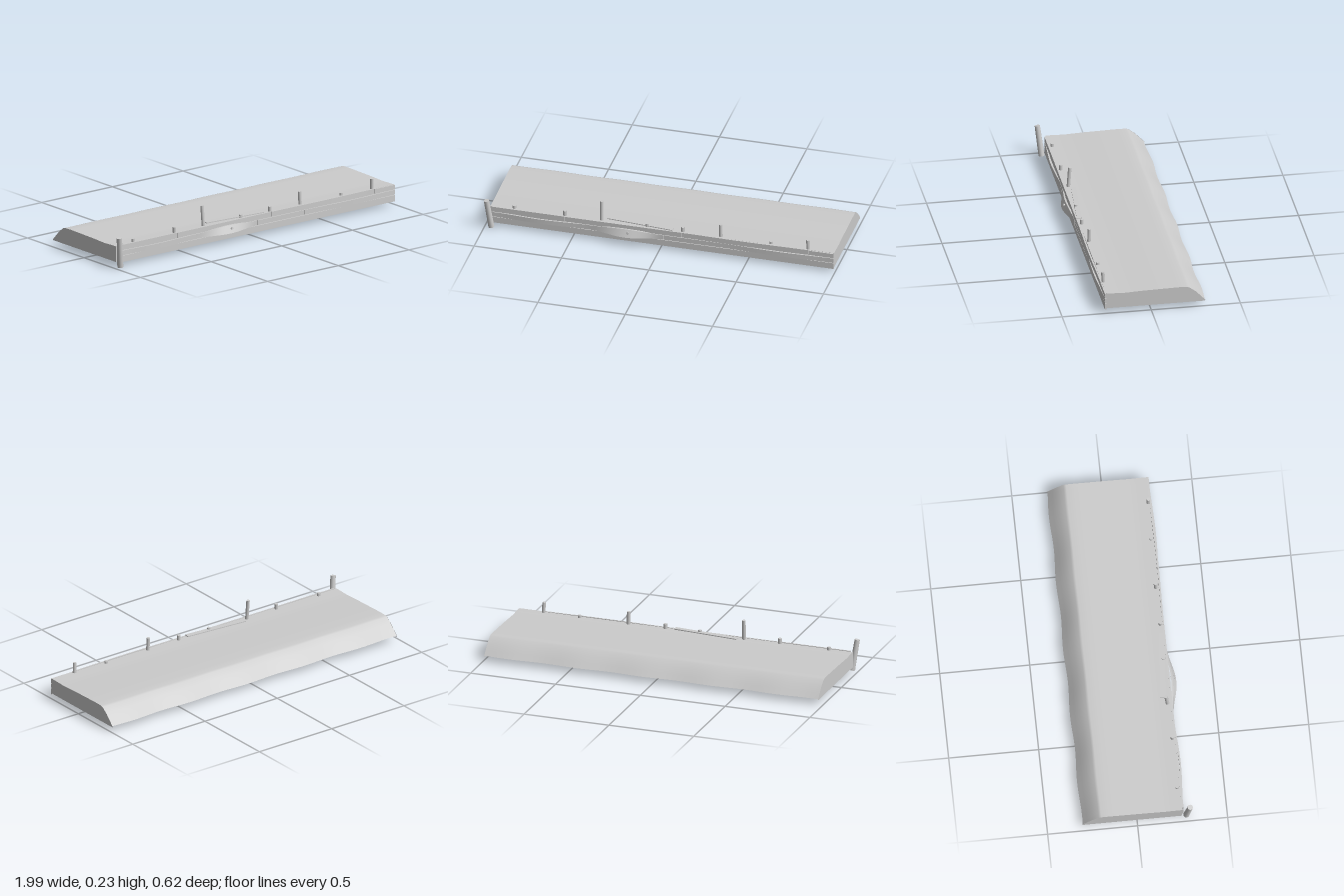
import * as THREE from 'three';

export function createModel() {
  const group = new THREE.Group();
  const grey = new THREE.MeshStandardMaterial({ color: 0xcccccc, side: THREE.DoubleSide });
  grey.name = 'pale grey';
  const X0 = -0.975, X1 = 0.993;

  const add = (name, geometry) => {
    const mesh = new THREE.Mesh(geometry, grey);
    mesh.name = name;
    group.add(mesh);
    return mesh;
  };

  // Ground: a [z, y] profile swept along x, with a wavy rear edge
  const profile = [[0.25, 0.118], [0.2, 0.117], [0.15, 0.115], [0.05, 0.119], [-0.05, 0.121],
    [-0.15, 0.123], [-0.2, 0.122], [-0.215, 0.117], [-0.25, 0.091], [-0.28, 0.06], [-0.305, 0.034]];
  const rows = profile.length - 1;
  const ground = new THREE.PlaneGeometry(1, 1, 80, rows);
  const gp = ground.attributes.position;
  for (let i = 0; i < gp.count; i++) {
    const row = rows - Math.floor(i / 81);
    const [z, y] = profile[row];
    const x = X0 + (gp.getX(i) + 0.5) * (X1 - X0);
    const wave = row > 5 ? 0.004 * Math.sin(x * 16 + 0.6) * (row - 5) / 5 : 0;
    gp.setXYZ(i, x, y, z - wave);
  }
  ground.computeVertexNormals();
  add('groundSurface', ground);

  // End walls close the profile down to the base; the underside stays open
  const endShape = new THREE.Shape();
  endShape.moveTo(-0.25, 0.028);
  profile.forEach(([z, y]) => endShape.lineTo(-z, y));
  endShape.lineTo(0.303, 0.028);
  for (const [name, x] of [['leftEndWall', X1], ['rightEndWall', X0]]) {
    const wall = new THREE.ShapeGeometry(endShape);
    wall.rotateY(Math.PI / 2);
    wall.translate(x, 0, 0);
    add(name, wall);
  }

  // Front retaining wall
  const backing = new THREE.PlaneGeometry(X1 - X0, 0.09);
  backing.translate((X0 + X1) / 2, 0.073, 0.249);
  add('frontWall', backing);

  // Plank from xa to xb; bow pushes its middle forward, lift raises it
  function plank(name, xa, xb, ya, yb, bow = 0, lift = 0, twist = 0) {
    const g = new THREE.BoxGeometry(xb - xa, yb - ya, 0.009, 20, 1, 1);
    g.translate((xa + xb) / 2, (ya + yb) / 2, 0.2545);
    const p = g.attributes.position;
    for (let i = 0; i < p.count; i++) {
      const t = THREE.MathUtils.clamp((p.getX(i) - xa) / (xb - xa), 0, 1);
      const s = Math.sin(Math.PI * t) ** 2;
      const v = (p.getY(i) - ya) / (yb - ya);
      p.setY(i, p.getY(i) + lift * s * v);
      p.setZ(i, p.getZ(i) + bow * s * (1 - twist * v));
    }
    g.computeVertexNormals();
    add(name, g);
  }
  plank('lowerPlank', -0.96, X1, 0.022, 0.058);
  plank('middlePlankRight', -0.96, -0.41, 0.061, 0.088, 0.012);
  plank('bowedPlank', -0.41, 0.02, 0.061, 0.088, 0.036, 0.015, 0.55);
  plank('middlePlankCentre', 0.023, 0.35, 0.061, 0.088);
  plank('middlePlankLeft', 0.353, X1, 0.061, 0.088, 0.009);
  plank('upperPlankRight', -0.96, -0.55, 0.091, 0.121);
  plank('upperPlankCentre', -0.547, 0.12, 0.091, 0.12);
  plank('upperPlankLeft', 0.123, 0.85, 0.091, 0.12, 0.004);
  plank('upperPlankEnd', 0.853, X1, 0.091, 0.117);

  // Round stake between two points
  function stake(name, a, b, r0, r1, sides = 10) {
    const from = new THREE.Vector3(...a), to = new THREE.Vector3(...b);
    const dir = to.clone().sub(from);
    const mesh = add(name, new THREE.CylinderGeometry(r1, r0, dir.length(), sides));
    mesh.position.copy(from).add(to).multiplyScalar(0.5);
    mesh.quaternion.setFromUnitVectors(new THREE.Vector3(0, 1, 0), dir.normalize());
  }
  // [x, top height, top z]
  const stakes = [[-0.84, 0.135, 0.235], [-0.55, 0.148, 0.238], [-0.343, 0.232, 0.223],
    [-0.08, 0.136, 0.235], [0.125, 0.146, 0.238], [0.34, 0.192, 0.232],
    [0.63, 0.132, 0.236], [0.842, 0.177, 0.244]];
  stakes.forEach(([x, y, z], i) =>
    stake('stake' + (i + 1), [x + (y > 0.15 ? 0.004 : 0), 0.035, 0.238], [x, y, z], 0.01, 0.01));

  // Leaning corner post
  stake('cornerPost', [-0.962, 0.003, 0.274], [-0.985, 0.178, 0.294], 0.017, 0.015, 12);

  // Loose board lying on the ground along the edge
  const board = add('looseBoard', new THREE.BoxGeometry(0.38, 0.005, 0.029));
  board.position.set(-0.12, 0.125, 0.225);
  board.rotation.y = -0.085;

  // Peg on the bowed plank
  stake('peg', [-0.18, 0.083, 0.265], [-0.18, 0.086, 0.288], 0.008, 0.008);

  return group;
}
